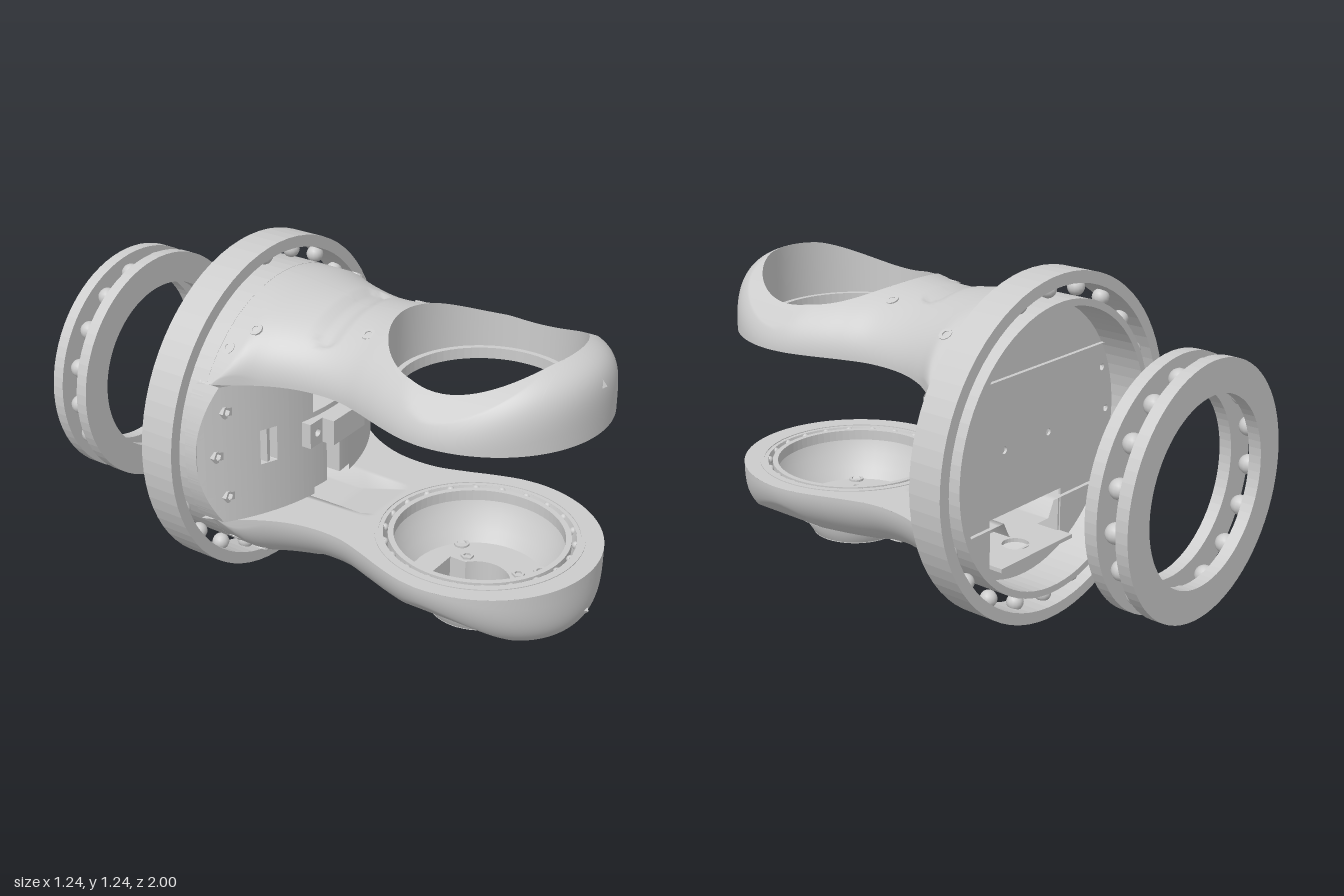
import * as THREE from 'three';
import { ParametricGeometry } from 'three/addons/geometries/ParametricGeometry.js';

const mat = new THREE.MeshStandardMaterial({ color: 0xcccccc, side: THREE.DoubleSide });
const CY = 0.6225; // height of the main axis
const HZ = 0.57; // depth of the joint axis through both arms

function add(parent, name, geo, x = 0, y = 0, z = 0) {
  const m = new THREE.Mesh(geo, mat);
  m.name = name;
  m.position.set(x, y, z);
  parent.add(m);
  return m;
}

// Flat ring extruded along z, starting at z = 0
function ringGeo(ro, ri, depth, seg = 36) {
  const s = new THREE.Shape().absarc(0, 0, ro, 0, Math.PI * 2);
  s.holes.push(new THREE.Path().absarc(0, 0, ri, 0, Math.PI * 2, true));
  return new THREE.ExtrudeGeometry(s, { depth, bevelEnabled: false, curveSegments: seg });
}

function rectPath(x0, x1, y0, y1, P = THREE.Path) {
  return new P().moveTo(x0, y0).lineTo(x1, y0).lineTo(x1, y1).lineTo(x0, y1).closePath();
}

// Circle of bearing balls in the xy plane
function balls(parent, name, n, radius, r, z, start = 0, y = CY) {
  const g = new THREE.Group();
  g.name = name;
  const geo = new THREE.SphereGeometry(r, 14, 10);
  for (let i = 0; i < n; i++) {
    const a = start + (i / n) * Math.PI * 2;
    add(g, 'ball', geo, Math.cos(a) * radius, y + Math.sin(a) * radius, z);
  }
  parent.add(g);
}

// Arm outline: half width and thickness along z, up to the joint axis
const widthAt = new THREE.CubicInterpolant(
  [-0.28, -0.25, -0.2, -0.1, 0, 0.1, 0.2, 0.3, 0.4, 0.5, 0.57],
  [0.475, 0.462, 0.435, 0.37, 0.327, 0.31, 0.315, 0.345, 0.382, 0.412, 0.42], 1);
const thickAt = new THREE.CubicInterpolant(
  [-0.28, -0.1, 0, 0.1, 0.2, 0.3, 0.57],
  [0.26, 0.247, 0.235, 0.222, 0.225, 0.24, 0.25], 1);
const NOSE = 0.43; // length of the rounded nose beyond the joint axis
const armW = z => z < HZ ? widthAt.evaluate(z)[0] : 0.42 * Math.sqrt(Math.max(0, 1 - ((z - HZ) / NOSE) ** 2));
const chord = (r, z) => Math.sqrt(Math.max(0, r * r - (z - HZ) ** 2));

// Height of the arm's outer skin above its flat inner face
function skin(x, z) {
  const cap = Math.max(0, Math.sqrt(0.524 ** 2 - x * x) - 0.2625);
  if (z > HZ) {
    // Rounded nose, blunter towards the tip
    const nx = x / 0.42, nz = (z - HZ) / NOSE, r = Math.hypot(nx, nz);
    const c = (nz / r) ** 2, p = 2 + 2.6 * c;
    return Math.min(cap, (0.25 + 0.022 * c) * Math.max(0, 1 - r ** p) ** (1 / p));
  }
  const oval = thickAt.evaluate(z)[0] * Math.sqrt(Math.max(0, 1 - (x / armW(z)) ** 2));
  const round = 1 - THREE.MathUtils.smoothstep(z, -0.28, -0.08);
  return Math.min(cap, THREE.MathUtils.lerp(oval, cap, round));
}

// Shallow rounded recess across the neck
function slotDepth(x, z) {
  const d = Math.hypot(x - Math.max(-0.2, Math.min(0.09, x)), z - 0.075);
  return 0.014 * (1 - THREE.MathUtils.smoothstep(d, 0.03, 0.045));
}

// Depth samples cluster at the ends of the arm and of its hole
function zAt(u, r) {
  const b = [-0.28, HZ - r, HZ + r, HZ + NOSE], i = Math.min(2, Math.floor(u * 3 + 1e-9));
  return b[i] + (b[i + 1] - b[i]) * (1 - Math.cos((u * 3 - i) * Math.PI)) / 2;
}

// One arm with its flat face on y = 0 and its skin upwards; ramp sinks a cable channel into the face
function makeArm(flatR, skinR, ramp) {
  const g = new THREE.Group();
  for (const side of [-1, 1]) {
    const surface = (name, r, nu, nv, fn) => {
      const geo = new ParametricGeometry((u, v, p) => fn(zAt(u, r), v, p), nu, nv);
      geo.computeVertexNormals();
      add(g, name, geo);
    };
    surface('armSkin', skinR, 120, 28, (z, v, p) => {
      const h = chord(skinR, z), w = Math.max(h, armW(z));
      const x = side * (h + (w - h) * Math.sin(v * Math.PI / 2));
      p.set(x, v < 1 ? skin(x, z) - slotDepth(x, z) : 0, z);
    });
    surface('armInnerFace', flatR, 96, 24, (z, v, p) => {
      const h = chord(flatR, z), w = Math.max(h, armW(z)), edge = Math.min(w, Math.max(h, 0.11));
      const x = v <= 0.5 ? h + (edge - h) * v * 2 : edge + (w - edge) * (v * 2 - 1);
      p.set(side * x, v <= 0.5 ? ramp * THREE.MathUtils.clamp((0.2 - z) / 0.2, 0, 1) : 0, z);
    });
    // Screw collars
    for (const [x0, z] of [[0.37, -0.22], [0.3, -0.155], [0.165, 0.21]]) {
      const x = side * x0, slope = (skin(x + 0.01, z) - skin(x - 0.01, z)) / 0.02;
      const m = add(g, 'screwCollar', ringGeo(0.024, 0.012, 0.02, 6), x, skin(x, z) + 0.003, z);
      m.rotation.set(Math.PI / 2, Math.atan(slope), 0);
    }
  }
  // Small pointed mark at the tip
  const tip = add(g, 'tipMark', new THREE.ConeGeometry(0.02, 0.08, 4), 0, 0.185, 0.967);
  tip.rotation.x = -0.5;
  // Joint bearing set in the inner face
  const joint = new THREE.Group();
  joint.name = 'jointBearing';
  add(joint, 'jointOuterRace', ringGeo(0.365, 0.35, 0.02), 0, 0, -0.015);
  add(joint, 'jointInnerRace', ringGeo(0.318, 0.298, 0.04), 0, 0, -0.04);
  balls(joint, 'jointBalls', 22, 0.332, 0.014, -0.012, 0, 0);
  joint.rotation.x = Math.PI / 2;
  joint.position.set(0, 0.002, HZ);
  g.add(joint);
  return g;
}

// Bowed front panel with recesses and screw holes
const panelZ = x => -0.83 + Math.sqrt(0.78 ** 2 - x * x);
function panelGeo(screws) {
  const notches = [[-0.11, 0.11, 0.69, 0.885, 0.11], [-0.04, 0.04, 0.385, 0.575, 0.1],
    [-0.33, -0.27, 0.56, 0.69, 0.06], [0.27, 0.33, 0.56, 0.69, 0.06]];
  const holes = [[-0.11, 0.11, 0.36, 0.385],
    ...screws.map(([x, y]) => [x - 0.015, x + 0.015, y - 0.015, y + 0.015])];
  const xs = [-0.55, -0.54, 0.54, 0.55], ys = [0.36, 0.885];
  for (let i = -26; i <= 26; i++) xs.push(i * 0.02);
  for (let i = 1; i < 20; i++) ys.push(0.36 + i * 0.02625);
  for (const [x0, x1, y0, y1] of [...notches, ...holes]) {
    for (const x of [x0, x1]) xs.push(x - 0.001, x + 0.001);
    for (const y of [y0, y1]) if (y > 0.36 && y < 0.885) ys.push(y - 0.001, y + 0.001);
  }
  xs.sort((a, b) => a - b);
  ys.sort((a, b) => a - b);
  const inside = (r, x, y) => x > r[0] && x < r[1] && y > r[2] && y <= r[3];
  const pos = [], idx = [], n = xs.length;
  ys.forEach((y, j) => xs.forEach((x0, i) => {
    const w = Math.sqrt(0.525 ** 2 - (y - CY) ** 2), x = Math.max(-w, Math.min(w, x0));
    let z = panelZ(x);
    // The wide upper recess is a half-round channel, the others are square
    notches.forEach((q, k) => {
      if (inside(q, x, y)) z -= k === 0 ? Math.sqrt(q[4] ** 2 - x * x) : q[4];
    });
    pos.push(x, y, i === 0 || i === n - 1 ? -0.3 : z);
    if (i + 1 === n || j + 1 === ys.length) return;
    const cx = (x0 + xs[i + 1]) / 2, cy = (y + ys[j + 1]) / 2;
    if (holes.some(h => inside(h, cx, cy))) return;
    const a = j * n + i;
    idx.push(a, a + 1, a + n + 1, a, a + n + 1, a + n);
  }));
  const g = new THREE.BufferGeometry();
  g.setAttribute('position', new THREE.Float32BufferAttribute(pos, 3));
  g.setIndex(idx);
  const flat = g.toNonIndexed();
  flat.computeVertexNormals();
  return flat;
}

export function createModel() {
  const root = new THREE.Group();

  // Main bearing: outer ring, balls, inner ring
  add(root, 'outerRing', ringGeo(0.62, 0.577, 0.13), 0, CY, -0.41);
  add(root, 'innerRing', ringGeo(0.525, 0.5, 0.16), 0, CY, -0.41);
  balls(root, 'mainBalls', 22, 0.556, 0.031, -0.345, Math.PI / 2);

  // Separate thrust bearing behind
  for (const z of [-0.885, -1]) add(root, 'thrustRing', ringGeo(0.44, 0.325, 0.045), 0, CY, z);
  balls(root, 'thrustBalls', 17, 0.388, 0.035, -0.92, -Math.PI / 2);

  // Upper arm with an open eye
  const upper = makeArm(0.335, 0.325, 0);
  upper.name = 'upperArm';
  upper.position.y = 0.885;
  root.add(upper);
  const wall = new ParametricGeometry((u, v, p) => {
    const a = u * Math.PI * 2, x = Math.cos(a) * 0.325, z = HZ + Math.sin(a) * 0.325;
    p.set(x, v * skin(x, z), z);
  }, 72, 2);
  add(upper, 'eyeWall', wall);

  // Lower arm, mirrored, with a bowl and a foot pad
  const lower = makeArm(0.335, 0.19, 0.06);
  lower.name = 'lowerArm';
  lower.position.y = 0.36;
  lower.scale.y = -1;
  root.add(lower);
  const lathe = (name, pts) => add(root, name,
    new THREE.LatheGeometry(pts.map(p => new THREE.Vector2(...p)), 48), 0, 0, HZ);
  lathe('bowlWall', [[0.335, 0.36], [0.32, 0.31], [0.3, 0.26], [0.27, 0.21], [0.24, 0.165]]);
  lathe('footPadSide', [[0.2, 0.15], [0.195, 0.11], [0.17, 0.07]]);

  // Bowl floor and pad share a round opening widened along z
  const padShape = r => {
    const s = new THREE.Shape().absarc(0, 0, r, 0, Math.PI * 2);
    const o = new THREE.Path(), a = Math.acos(0.07 / 0.115);
    o.moveTo(0.07, 0.155).lineTo(-0.07, 0.155);
    o.absarc(0, 0, 0.115, Math.PI - a, Math.PI + a);
    o.lineTo(-0.07, -0.155).lineTo(0.07, -0.155);
    o.absarc(0, 0, 0.115, -a, a);
    o.closePath();
    s.holes.push(o);
    return s;
  };
  for (const [name, r, y, depth] of [['bowlFloor', 0.245, 0.17, 0.015], ['footPad', 0.172, 0.155, 0.085]]) {
    const geo = new THREE.ExtrudeGeometry(padShape(r), { depth, bevelEnabled: false, curveSegments: 24 });
    add(root, name, geo, 0, y, HZ).rotation.x = Math.PI / 2;
  }
  for (const sx of [-1, 1]) for (const sz of [-1, 1]) {
    for (const [o, ro, seg] of [[0.105, 0.024, 3], [0.165, 0.028, 8]]) {
      add(root, 'bowlScrew', ringGeo(ro, ro - 0.01, 0.01, seg), sx * o, 0.178, HZ + sz * o).rotation.x = Math.PI / 2;
    }
  }

  // Body: bowed panel, back plate and screw sleeves
  const sides = [[0.433, 0.787], [0.463, 0.622], [0.433, 0.46]];
  const screws = [...sides, [0.122, 0.622]].flatMap(([x, y]) => [[x, y], [-x, y]]);
  add(root, 'bodyPanel', panelGeo(screws));
  const plate = new THREE.Shape().absarc(0, CY, 0.505, 0, Math.PI * 2);
  plate.holes.push(rectPath(-0.2, 0.2, 0.22, 0.386));
  for (const [x, y] of screws) {
    plate.holes.push(new THREE.Path().absarc(x, y, 0.013, 0, Math.PI * 2, true));
    if (Math.abs(x) < 0.2) continue;
    add(root, 'screwSleeve', ringGeo(0.025, 0.014, panelZ(x) + 0.258, 3), x, y, -0.258);
  }
  add(root, 'backPlate', new THREE.ExtrudeGeometry(plate, { depth: 0.01, bevelEnabled: false, curveSegments: 32 }), 0, 0, -0.265);
  for (const s of [-1, 1]) add(root, 'slotFin', new THREE.BoxGeometry(0.016, 0.13, 0.05), s * 0.297, 0.625, -0.14);

  // Cable pocket behind the lower arm
  const floor = rectPath(-0.2, 0.2, -0.32, -0.08, THREE.Shape);
  floor.holes.push(new THREE.Path().absarc(0, -0.22, 0.05, 0, Math.PI * 2, true));
  add(root, 'pocketFloor', new THREE.ExtrudeGeometry(floor, { depth: 0.015, bevelEnabled: false }), 0, 0.22, 0).rotation.x = Math.PI / 2;
  add(root, 'pocketFront', new THREE.BoxGeometry(0.4, 0.08, 0.015), 0, 0.255, -0.085);
  for (const s of [-1, 1]) add(root, 'pocketSide', new THREE.BoxGeometry(0.015, 0.14, 0.18), s * 0.2, 0.285, -0.17);

  // Centre clamp on the panel
  const clamp = rectPath(-0.165, 0.165, 0.575, 0.67, THREE.Shape);
  for (const x of [-0.122, 0.122]) clamp.holes.push(new THREE.Path().absarc(x, 0.622, 0.015, 0, Math.PI * 2, true));
  add(root, 'clampBase', new THREE.ExtrudeGeometry(clamp, { depth: 0.05, bevelEnabled: false }), 0, 0, -0.08);
  add(root, 'clampBlock', new THREE.BoxGeometry(0.19, 0.095, 0.06), 0, 0.6225, -0.01);
  return root;
}
